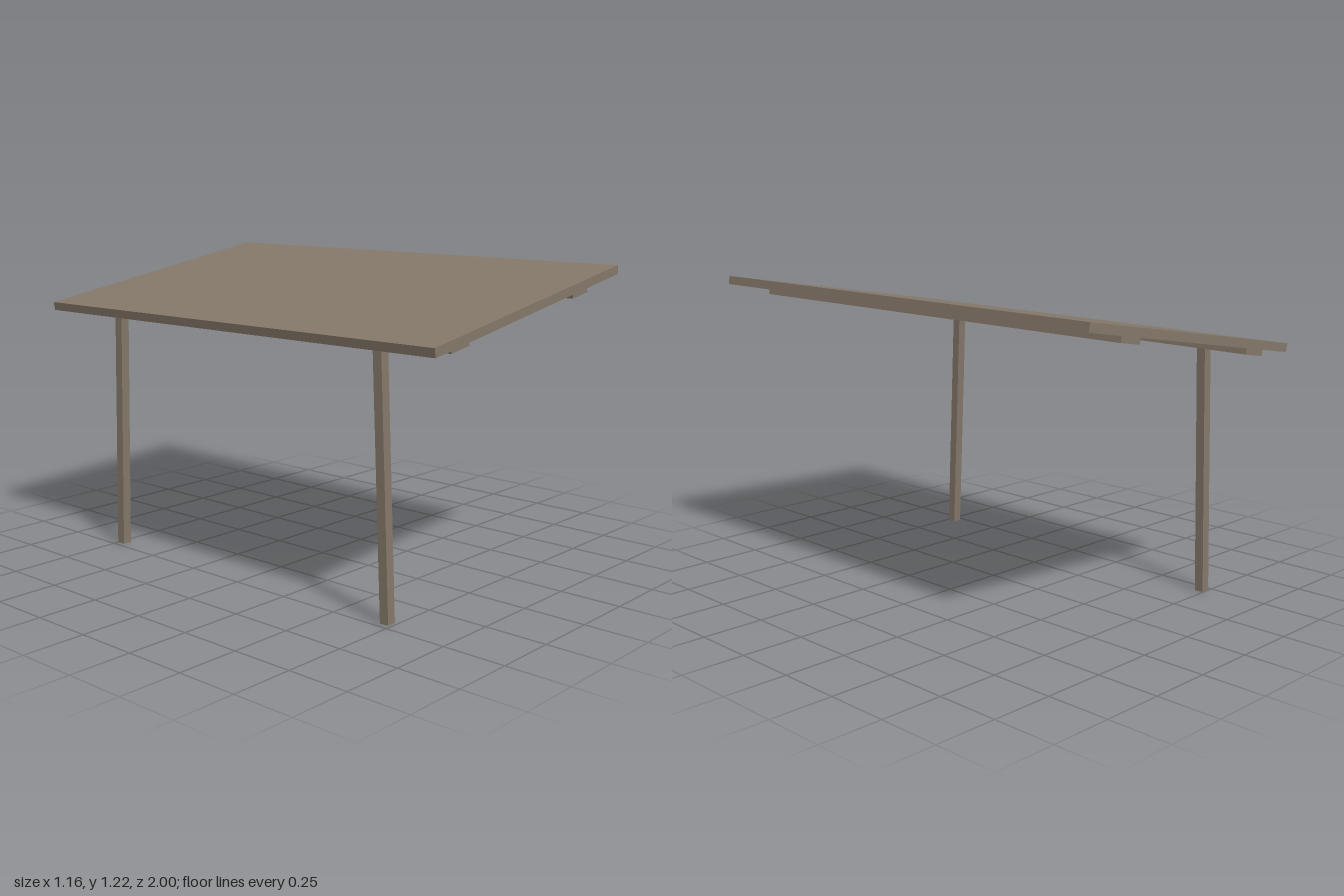
import * as THREE from 'three';

export function createModel() {
  const model = new THREE.Group();
  const wood = new THREE.MeshStandardMaterial({ color: 0x85786a });
  wood.name = 'weathered wood';

  const addBox = (parent, name, size, position) => {
    const mesh = new THREE.Mesh(new THREE.BoxGeometry(...size), wood);
    mesh.name = name;
    mesh.position.set(...position);
    parent.add(mesh);
    return mesh;
  };

  // Sloping roof, very slightly higher at the front
  const roof = new THREE.Group();
  roof.name = 'roof';
  roof.position.set(0, 1.106, 0);
  roof.rotation.set(-0.006, 0, 0.161);
  model.add(roof);
  const thickness = 0.034;
  addBox(roof, 'roofPanel', [1.166, thickness, 2], [0, 0, 0]);

  // Battens fixed beneath the panel; the low one sits a little askew
  const battenHeight = 0.024;
  const battenY = -(thickness + battenHeight) / 2;
  addBox(roof, 'highBatten', [0.102, battenHeight, 1.955], [0.335, battenY, 0.003]);
  const low = addBox(roof, 'lowBatten', [0.102, battenHeight, 1.955], [-0.4, battenY, -0.007]);
  low.rotation.y = -0.009;

  // Two posts under the low edge, leaning inwards
  const addPost = (name, footZ, topZ) => {
    const foot = new THREE.Vector3(-0.458, 0.001, footZ);
    const top = new THREE.Vector3(-0.458, 1.022, topZ);
    const centre = foot.clone().add(top).multiplyScalar(0.5);
    const post = addBox(model, name, [0.038, foot.distanceTo(top), 0.038], centre.toArray());
    post.rotation.x = Math.atan2(topZ - footZ, top.y - foot.y);
  };
  addPost('frontPost', 0.721, 0.676);
  addPost('backPost', -0.731, -0.7);

  return model;
}
